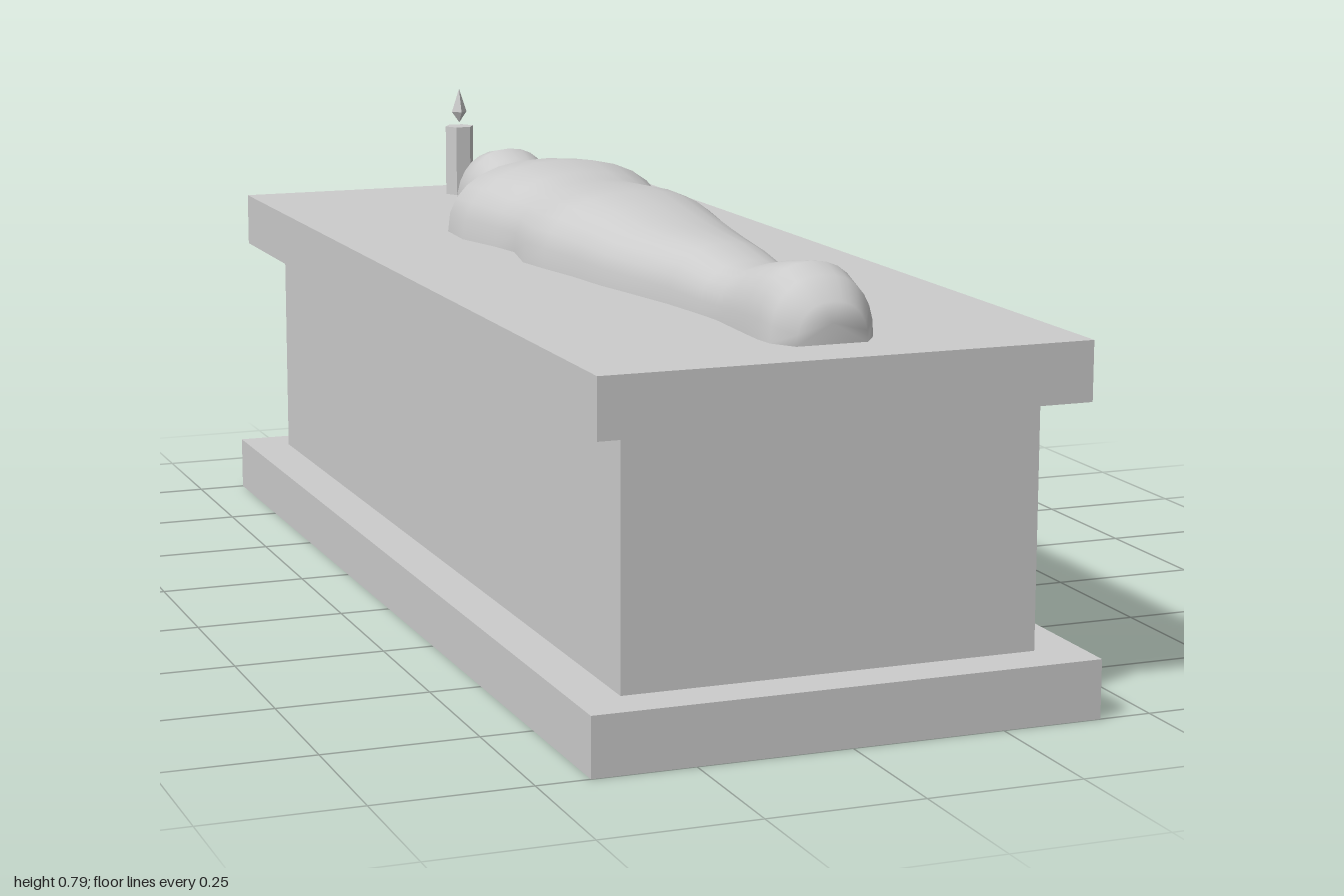
import * as THREE from 'three';

// Stations along the shrouded figure: z, half width, top height
const STATIONS = [
  [-0.66, 0.045, 0.652], [-0.635, 0.07, 0.68], [-0.605, 0.09, 0.703], [-0.56, 0.088, 0.711],
  [-0.52, 0.085, 0.698], [-0.48, 0.088, 0.686], [-0.44, 0.13, 0.688], [-0.4, 0.168, 0.705],
  [-0.35, 0.189, 0.718], [-0.25, 0.194, 0.727], [-0.15, 0.168, 0.718], [-0.08, 0.156, 0.712],
  [0.03, 0.178, 0.717], [0.1, 0.168, 0.717], [0.2, 0.15, 0.707], [0.3, 0.138, 0.696],
  [0.38, 0.122, 0.692], [0.5, 0.1, 0.687], [0.6, 0.088, 0.673], [0.66, 0.083, 0.675],
  [0.72, 0.085, 0.69], [0.78, 0.087, 0.701], [0.83, 0.088, 0.707], [0.87, 0.084, 0.692],
  [0.908, 0.058, 0.658],
];
const FLOOR = 0.594, SEG = 14, POWER = 2 / 2.3;

// Half-round loft over the stations with closed ends
function shroudGeometry() {
  const pos = [], idx = [], row = SEG + 1, last = STATIONS.length - 1;
  for (const [z, w, top] of STATIONS) {
    for (let k = 0; k <= SEG; k++) {
      const a = (Math.PI * k) / SEG, c = Math.cos(a), s = Math.max(0, Math.sin(a));
      pos.push(Math.sign(c) * w * Math.abs(c) ** POWER, FLOOR + (top - FLOOR) * s ** POWER, z);
    }
  }
  for (let i = 0; i < last; i++) {
    for (let k = 0; k < SEG; k++) {
      const a = i * row + k, b = a + 1, c = a + row, d = c + 1;
      idx.push(a, b, c, b, d, c);
    }
  }
  // crown of the head and soles of the feet
  for (const i of [0, last]) {
    const centre = pos.length / 3, [z, , top] = STATIONS[i];
    pos.push(0, (FLOOR + top) / 2, z);
    for (let k = 0; k <= SEG; k++) {
      const a = i * row + k, b = i * row + ((k + 1) % row);
      if (i) idx.push(centre, a, b);
      else idx.push(centre, b, a);
    }
  }
  const geo = new THREE.BufferGeometry();
  geo.setAttribute('position', new THREE.Float32BufferAttribute(pos, 3));
  geo.setIndex(idx);
  geo.computeVertexNormals();
  return geo;
}

// Flat underside following the outline of the figure
function undersideGeometry() {
  const right = STATIONS.map(([z, w]) => new THREE.Vector2(w, z));
  const left = STATIONS.map(([z, w]) => new THREE.Vector2(-w, z)).reverse();
  return new THREE.ShapeGeometry(new THREE.Shape([...right, ...left])).rotateX(Math.PI / 2);
}

export function createModel() {
  const model = new THREE.Group();
  const stone = new THREE.MeshStandardMaterial({ color: 0xcccccc });
  stone.name = 'paleGrey';

  const add = (name, geo, x = 0, y = 0, z = 0) => {
    const mesh = new THREE.Mesh(geo, stone);
    mesh.name = name;
    mesh.position.set(x, y, z);
    model.add(mesh);
    return mesh;
  };
  const block = (name, w, y0, y1, d) =>
    add(name, new THREE.BoxGeometry(w, y1 - y0, d), 0, (y0 + y1) / 2, 0);
  const faceted = (geo) => {
    const flat = geo.index ? geo.toNonIndexed() : geo;
    flat.computeVertexNormals();
    return flat;
  };

  // Tomb
  block('plinth', 0.83, 0, 0.095, 2);
  block('chest', 0.68, 0.095, 0.492, 1.845);
  block('lidSlab', 0.795, 0.492, 0.587, 1.96);

  // Reclining figure
  add('shroudedFigure', shroudGeometry());
  add('figureUnderside', undersideGeometry(), 0, FLOOR, 0);

  // Candle: hexagonal stick and four-sided flame
  const stick = new THREE.CylinderGeometry(0.028, 0.028, 0.133, 6).rotateY(Math.PI / 6);
  add('candle', faceted(stick), 0, 0.6535, -0.86);
  const flame = new THREE.LatheGeometry(
    [[0, 0.727], [0.015, 0.748], [0, 0.793]].map(([x, y]) => new THREE.Vector2(x, y)), 4);
  add('flame', faceted(flame), 0, 0, -0.86);

  return model;
}
